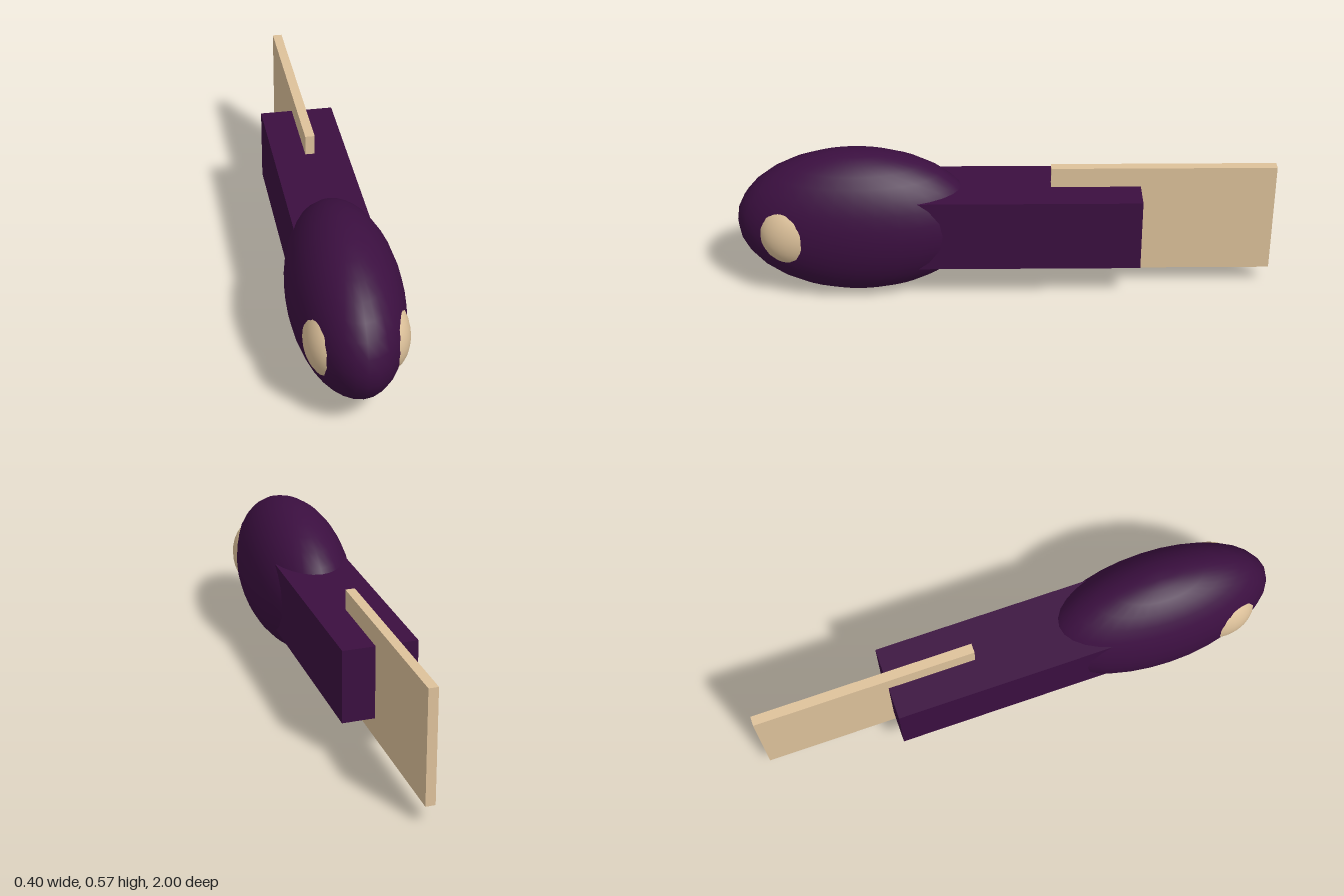
import * as THREE from 'three';

const purple = new THREE.MeshStandardMaterial({ color: 0x3b0f40 });
const tan = new THREE.MeshStandardMaterial({ color: 0xdec29b });
const MID = 0.286; // height of the body axis

function ellipsoid(name, material, radii, position) {
  const mesh = new THREE.Mesh(new THREE.SphereGeometry(1, 32, 16), material);
  mesh.name = name;
  mesh.scale.set(...radii);
  mesh.position.set(...position);
  return mesh;
}

// Box centred on x, spanning zBack to zFront
function bar(name, material, width, height, zBack, zFront) {
  const mesh = new THREE.Mesh(new THREE.BoxGeometry(width, height, zFront - zBack), material);
  mesh.name = name;
  mesh.position.set(0, MID, (zBack + zFront) / 2);
  return mesh;
}

export function createModel() {
  const group = new THREE.Group();
  group.name = 'fish';

  // Head and trunk, the trunk running on inside the head
  group.add(ellipsoid('head', purple, [0.202, 0.286, 0.447], [0, MID, 0.553]));
  group.add(bar('trunk', purple, 0.28, 0.28, -0.5, 0.5));

  // Flat tail fin set into the trunk
  group.add(bar('tailFin', tan, 0.036, 0.434, -1, -0.168));

  // Eyes bulging slightly out of the head
  for (const [side, name] of [[1, 'leftEye'], [-1, 'rightEye']]) {
    group.add(ellipsoid(name, tan, [0.1, 0.14, 0.135], [side * 0.083, MID, 0.78]));
  }
  return group;
}
